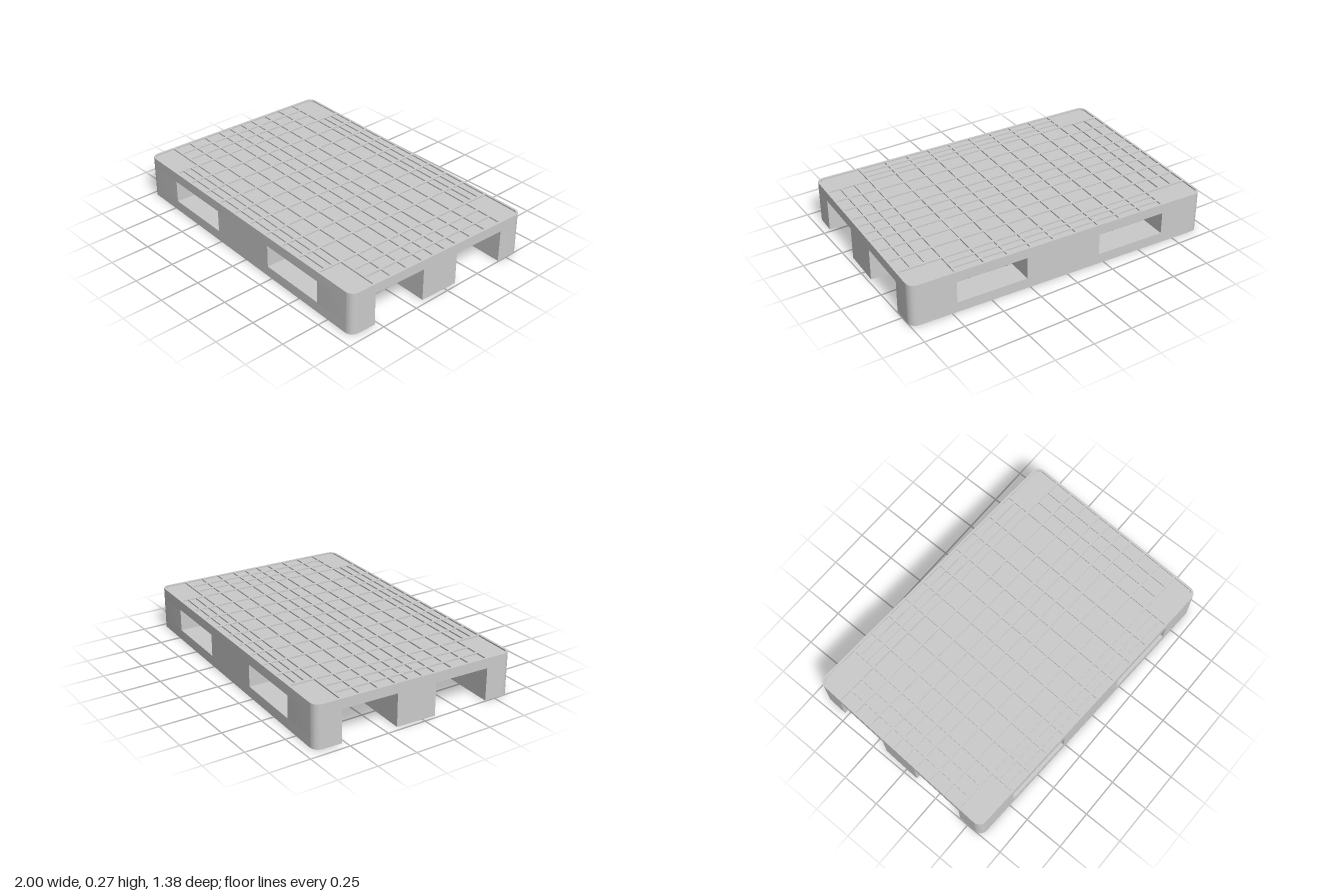
import * as THREE from 'three';
import { toCreasedNormals } from 'three/addons/utils/BufferGeometryUtils.js';

const L = 0.975, W = 0.649, R = 0.05;                  // half length, half width, corner radius
const SILL = 0.065, UNDER = 0.205, FLOOR = 0.258, TOP = 0.267;
const RIB = 0.014;
const material = new THREE.MeshStandardMaterial({ color: 0xcccccc });

// Plan outline with one radius per corner: (x0,z0) (x1,z0) (x1,z1) (x0,z1)
function outline(x0, x1, z0, z1, [a, b, c, d], PathType = THREE.Shape) {
  const p = new PathType();
  const corner = (x, z, r, start) => {
    if (r > 0) p.absarc(x, z, r, start, start + Math.PI / 2, false);
    else p.lineTo(x, z);
  };
  p.moveTo(x0 + a, z0);
  corner(x1 - b, z0 + b, b, -Math.PI / 2);
  corner(x1 - c, z1 - c, c, 0);
  corner(x0 + d, z1 - d, d, Math.PI / 2);
  corner(x0 + a, z0 + a, a, Math.PI);
  p.closePath();
  return p;
}

// Raises a plan outline from y0 to y1
function slab(group, name, shape, y0, y1) {
  const geometry = new THREE.ExtrudeGeometry(shape, { depth: y1 - y0, bevelEnabled: false, curveSegments: 10 });
  geometry.rotateX(Math.PI / 2).translate(0, y1, 0);
  const mesh = new THREE.Mesh(toCreasedNormals(geometry, 0.5), material);
  mesh.name = name;
  group.add(mesh);
}

function rib(group, name, x0, x1, z0, z1) {
  const mesh = new THREE.Mesh(new THREE.BoxGeometry(x1 - x0, TOP - FLOOR, z1 - z0), material);
  mesh.position.set((x0 + x1) / 2, (TOP + FLOOR) / 2, (z0 + z1) / 2);
  mesh.name = name;
  group.add(mesh);
}

export function createModel() {
  const pallet = new THREE.Group();
  pallet.name = 'pallet';

  // Deck plate with a thin raised rim
  const all = [R, R, R, R];
  slab(pallet, 'deck', outline(-L, L, -W, W, all), UNDER, FLOOR);
  const rim = outline(-L, L, -W, W, all);
  const r = R - RIB;
  rim.holes.push(outline(-L + RIB, L - RIB, -W + RIB, W - RIB, [r, r, r, r], THREE.Path));
  slab(pallet, 'deckRim', rim, FLOOR, TOP);

  // Three runners: a bottom bar and three posts with fork windows between
  const runners = [
    ['backRunner', -W, -0.48, R, 0],
    ['middleRunner', -0.127, 0.127, 0, 0],
    ['frontRunner', 0.48, W, 0, R],
  ];
  for (const [name, z0, z1, rb, rf] of runners) {
    const runner = new THREE.Group();
    runner.name = name;
    slab(runner, 'bottomBar', outline(-L, L, z0, z1, [rb, rb, rf, rf]), 0, SILL);
    slab(runner, 'rightPost', outline(-L, -0.69, z0, z1, [rb, 0, 0, rf]), SILL, UNDER);
    slab(runner, 'centrePost', outline(-0.243, 0.243, z0, z1, [0, 0, 0, 0]), SILL, UNDER);
    slab(runner, 'leftPost', outline(0.69, L, z0, z1, [0, rb, rf, 0]), SILL, UNDER);
    pallet.add(runner);
  }

  // Deck ribs, leaving the four corner pads plain
  const ribs = new THREE.Group();
  ribs.name = 'deckRibs';
  const h = RIB / 2, xIn = L - RIB, zIn = W - RIB;
  for (const s of [-1, 1]) {
    for (const z of [0.045, 0.13, 0.243, 0.36, 0.48]) rib(ribs, 'longRib', -xIn, xIn, s * z - h, s * z + h);
    for (const z of [0.535, 0.59]) rib(ribs, 'edgeRib', -0.69, 0.69, s * z - h, s * z + h);
    for (const x of [0.79, 0.88]) rib(ribs, 'endRib', s * x - h, s * x + h, -0.48, 0.48);
  }
  for (const x of [-0.69, -0.54, -0.39, -0.24, -0.09, 0.06, 0.21, 0.36, 0.51, 0.69]) {
    rib(ribs, 'crossRib', x - h, x + h, -zIn, zIn);
  }
  pallet.add(ribs);

  // The pallet sits slightly turned
  pallet.rotation.y = -0.0436;
  const model = new THREE.Group();
  model.name = 'model';
  model.add(pallet);
  return model;
}
